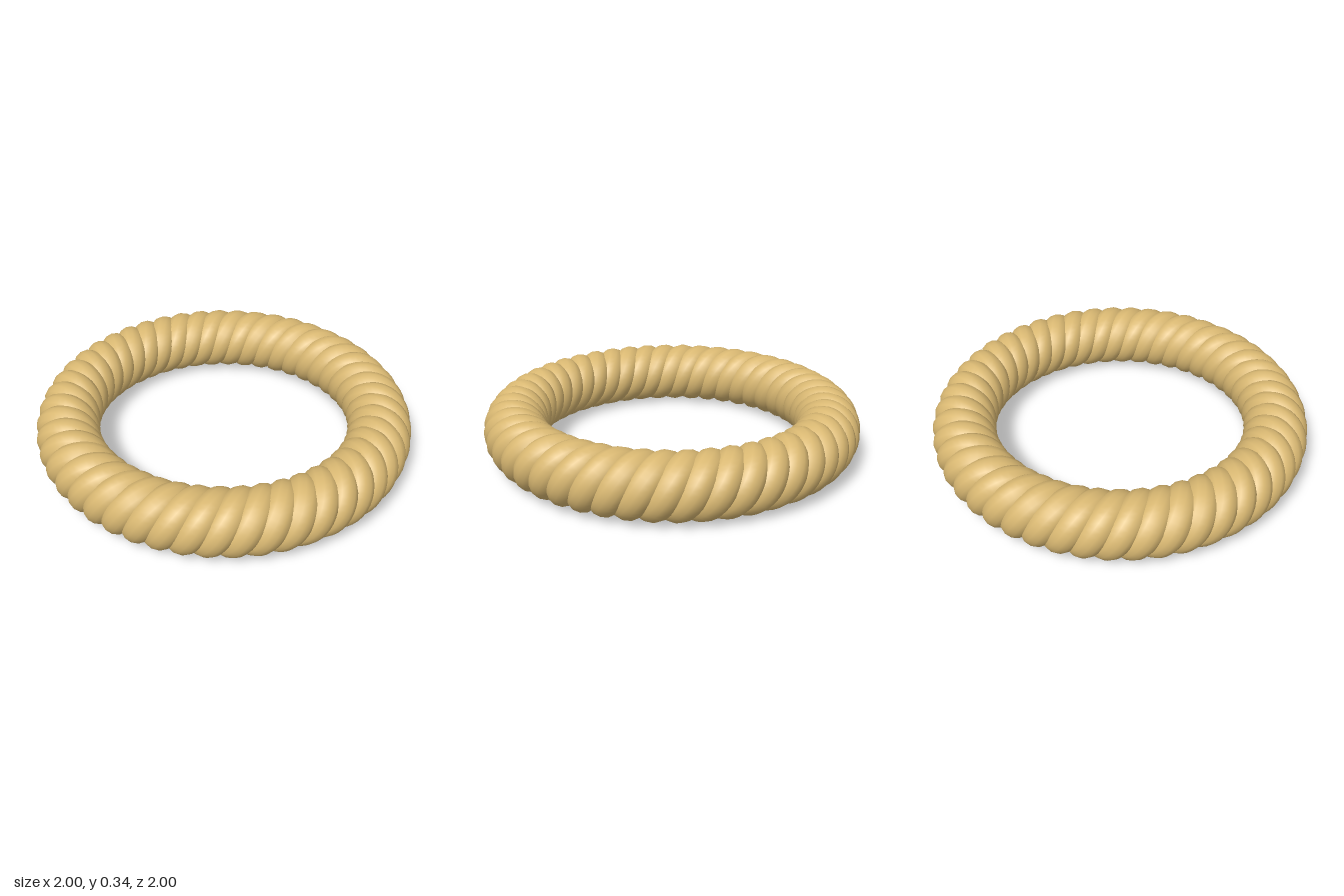
import * as THREE from 'three';

const STRANDS = 3;      // ropes twisted together
const TURNS = 16;       // twists around the whole ring
const STRAND_R = 0.08;  // thickness of one strand
const OFFSET = 0.088;   // strand centre to rope centre
const RING_R = 1 - STRAND_R - OFFSET;

// Closed helix wound around a horizontal ring
class StrandCurve extends THREE.Curve {
  constructor(phase) {
    super();
    this.phase = phase;
    this.arcLengthDivisions = 2400;
  }
  getPoint(u, target = new THREE.Vector3()) {
    const t = u * Math.PI * 2;
    const twist = this.phase - TURNS * t;
    const r = RING_R + OFFSET * Math.cos(twist);
    return target.set(r * Math.cos(t), OFFSET * Math.sin(twist), r * Math.sin(t));
  }
}

export function createModel() {
  const model = new THREE.Group();
  model.name = 'ropeRing';
  const rope = new THREE.MeshStandardMaterial({ color: 0xd9b872 });
  rope.name = 'straw rope';

  // Twisted strands, evenly spaced around the rope centre
  for (let i = 0; i < STRANDS; i++) {
    const curve = new StrandCurve((i / STRANDS) * Math.PI * 2);
    const strand = new THREE.Mesh(new THREE.TubeGeometry(curve, 512, STRAND_R, 14, true), rope);
    strand.name = `strand${i + 1}`;
    strand.position.y = STRAND_R + OFFSET;
    model.add(strand);
  }
  return model;
}
